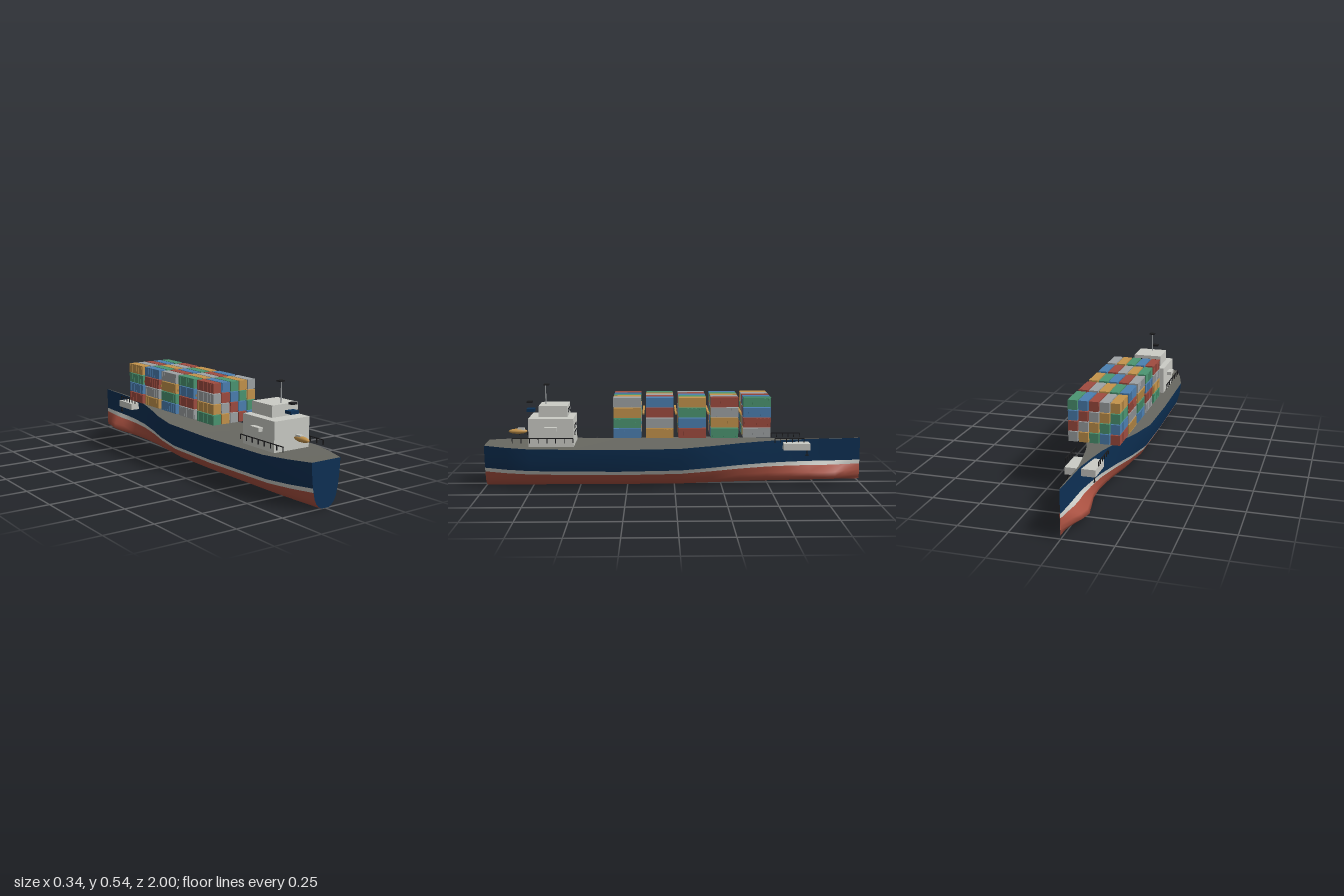
import * as THREE from 'three';
import { mergeGeometries } from 'three/addons/utils/BufferGeometryUtils.js';

const mat = (name, color, side = THREE.FrontSide) => {
  const m = new THREE.MeshStandardMaterial({ color, side });
  m.name = name;
  return m;
};

// Hull stations from stern to bow: z, deck height, deck half-width, bulb half-width
const STATIONS = [
  [1, 0.226, 0.085, 0], [0.88, 0.223, 0.13, 0], [0.75, 0.221, 0.165, 0],
  [0.3, 0.216, 0.168, 0], [-0.03, 0.221, 0.165, 0], [-0.2, 0.229, 0.132, 0],
  [-0.35, 0.234, 0.083, 0], [-0.5, 0.237, 0.04, 0.006], [-0.62, 0.239, 0.02, 0.023],
  [-0.72, 0.24, 0.006, 0.051], [-0.8, 0.241, 0.004, 0.068], [-0.86, 0.242, 0.004, 0.055],
  [-0.92, 0.243, 0.003, 0.025], [-1, 0.245, 0.001, 0.001],
];
// Width fractions from deck edge down to keel edge, for the body and the bow bulb
const BODY = [1, 0.96, 0.86, 0.79, 0.69, 0.55, 0.35, 0.18];
const BULB = [0, 0, 0.02, 0.22, 0.86, 1, 0.6, 0];

// Section points [x, y] of one station; fuller towards the transom, keel slot closing forward
function section([z, deck, width, bulb]) {
  const stripe = deck - 0.12, low = stripe - 0.021;
  const keel = 0.003 + 0.018 * Math.max(0, -z);
  const power = 1 - Math.max(0, z - 0.75);
  const slot = THREE.MathUtils.clamp((z + 0.5) / 0.5, 0, 1);
  const ys = [deck, (deck + stripe) / 2, stripe, low,
    ...[0.6, 0.32, 0.12, 0].map((f) => keel + f * (low - keel))];
  return ys.map((y, i) => {
    const body = width * BODY[i] ** power * (i === 7 ? slot : 1);
    return [body + bulb * BULB[i], y];
  });
}

// Surface through rows of points; flip reverses the facing
function loft(rows, flip) {
  const n = rows[0].length, index = [];
  for (let i = 0; i < rows.length - 1; i++) {
    for (let j = 0; j < n - 1; j++) {
      const a = i * n + j, b = a + n, c = a + 1, d = b + 1;
      index.push(...(flip ? [a, b, c, b, d, c] : [a, c, b, b, c, d]));
    }
  }
  const g = new THREE.BufferGeometry();
  g.setAttribute('position', new THREE.Float32BufferAttribute(rows.flat(2), 3));
  g.setIndex(index);
  g.computeVertexNormals();
  return g;
}

export function createModel() {
  const ship = new THREE.Group();
  ship.name = 'containerShip';
  const D = THREE.DoubleSide;
  const navy = mat('navy', 0x0d3054, D);
  const red = mat('hullRed', 0xa85040, D);
  const white = mat('offWhite', 0xcbccc6, D);
  const deckGrey = mat('deckGrey', 0x686861, D);
  const black = mat('black', 0x1c1c1e);
  const cargo = [mat('cargoRed', 0xa04c40), mat('cargoBlue', 0x4c80b2),
    mat('cargoGreen', 0x4c9672), mat('cargoOrange', 0xc4944c), mat('cargoGrey', 0x9fa3a5)];
  const orange = cargo[3], steel = cargo[4];

  const add = (name, geo, material, x = 0, y = 0, z = 0, parent = ship) => {
    const m = new THREE.Mesh(geo, material);
    m.name = name;
    m.position.set(x, y, z);
    parent.add(m);
    return m;
  };
  // Box given by its centre and size
  const box = (name, material, [x, y, z], [w, h, d], parent) =>
    add(name, new THREE.BoxGeometry(w, h, d), material, x, y, z, parent);

  // Hull sides in three paint bands, with an open slot along the keel
  const sections = STATIONS.map(section);
  const bands = [['topside', navy, 0, 2], ['waterlineStripe', white, 2, 3], ['underwaterHull', red, 3, 7]];
  for (const [name, material, from, to] of bands) {
    const sides = [1, -1].map((s) => loft(sections.map((p, i) =>
      p.slice(from, to + 1).map(([x, y]) => [s * x, y, STATIONS[i][0]])), s < 0));
    add(name, mergeGeometries(sides), material);
  }

  // Flat transom
  const edge = sections[0];
  const outline = [...edge.map(([x, y]) => new THREE.Vector2(x, y)),
    ...edge.map(([x, y]) => new THREE.Vector2(-x, y)).reverse()];
  add('transom', new THREE.ShapeGeometry(new THREE.Shape(outline)), navy, 0, 0, 1);

  // Deck
  add('deck', loft(STATIONS.map(([z, y, w]) => [[-w, y, z], [w, y, z]]), true).scale(1, 1, 1), deckGrey);

  // Containers: one ribbed box, stacked in five bays of five columns and four tiers
  const W = 0.047, H = 0.05, L = 0.143;
  const parts = [new THREE.BoxGeometry(W, H, L)];
  for (const s of [1, -1]) {
    for (let i = 0; i < 7; i++) {
      parts.push(new THREE.BoxGeometry(0.0015, H * 0.86, 0.008)
        .translate(s * (W / 2 + 0.0007), 0, (i - 3) * 0.02));
    }
  }
  const containerGeo = mergeGeometries(parts);
  const stacks = new THREE.Group();
  stacks.name = 'containerStacks';
  ship.add(stacks);
  for (let b = 0; b < 5; b++) {
    for (let c = 0; c < 5; c++) {
      for (let r = 0; r < 4; r++) {
        add('container', containerGeo, cargo[(c + 2 * b + r + 2) % 5],
          (c - 2) * 0.0535, 0.297 + r * 0.0537, 0.246 - b * 0.1685, stacks);
      }
    }
    // Lashing bar between bays
    if (b < 4) box('lashingBar', orange, [0, 0.4, 0.162 - b * 0.1685], [0.256, 0.01, 0.01], stacks);
  }

  // Superstructure
  box('accommodationBlock', white, [0, 0.296, 0.645], [0.212, 0.148, 0.235]);
  box('bridge', white, [0, 0.4045, 0.635], [0.156, 0.058, 0.15]);
  for (const s of [1, -1]) box('bridgeWing', white, [s * 0.119, 0.318, 0.645], [0.026, 0.02, 0.065]);

  // Windows on the forward faces
  const windowAt = (x, y, z) => {
    box('windowFrame', black, [x, y, z], [0.027, 0.019, 0.004]);
    box('windowPane', steel, [x, y, z - 0.001], [0.021, 0.013, 0.004]);
  };
  for (const x of [-0.037, 0, 0.037]) {
    windowAt(x, 0.405, 0.559);
    windowAt(x, 0.32, 0.526);
    windowAt(x, 0.285, 0.526);
  }

  // Mast and funnel pieces
  add('mast', new THREE.CylinderGeometry(0.003, 0.003, 0.104, 10), steel, 0, 0.485, 0.68);
  box('mastHead', black, [0, 0.537, 0.675], [0.03, 0.006, 0.028]);
  box('funnelBase', navy, [0, 0.403, 0.76], [0.05, 0.015, 0.042]);
  box('funnelCap', black, [0, 0.445, 0.765], [0.032, 0.01, 0.028]);

  // Lifeboat
  add('lifeboat', new THREE.SphereGeometry(1, 20, 12), orange, 0, 0.287, 0.832).scale.set(0.017, 0.014, 0.05);
  box('lifeboatCanopy', white, [0, 0.299, 0.815], [0.02, 0.012, 0.035]);

  // Railings along each side
  const railing = (name, x, top, height, z0, z1, posts) => {
    const g = new THREE.Group();
    g.name = name;
    ship.add(g);
    box('rail', black, [x, top, (z0 + z1) / 2], [0.004, 0.004, Math.abs(z1 - z0)], g);
    for (let i = 0; i < posts; i++) {
      box('post', black, [x, top - height / 2, z0 + (z1 - z0) * i / (posts - 1)], [0.004, height, 0.004], g);
    }
  };
  for (const s of [1, -1]) {
    railing('sternRailing', s * 0.122, 0.27, 0.025, 0.53, 0.845, 8);
    railing('bowRailing', s * 0.081, 0.257, 0.022, -0.53, -0.685, 6);
    // Anchors below the bow platform
    box('anchorShank', black, [s * 0.066, 0.178, -0.705], [0.005, 0.036, 0.005]);
    box('anchorFluke', black, [s * 0.066, 0.164, -0.705], [0.005, 0.005, 0.02]);
  }

  // Bow platform
  box('bowPlatform', white, [0, 0.209, -0.65], [0.15, 0.036, 0.14]);
  return ship;
}
